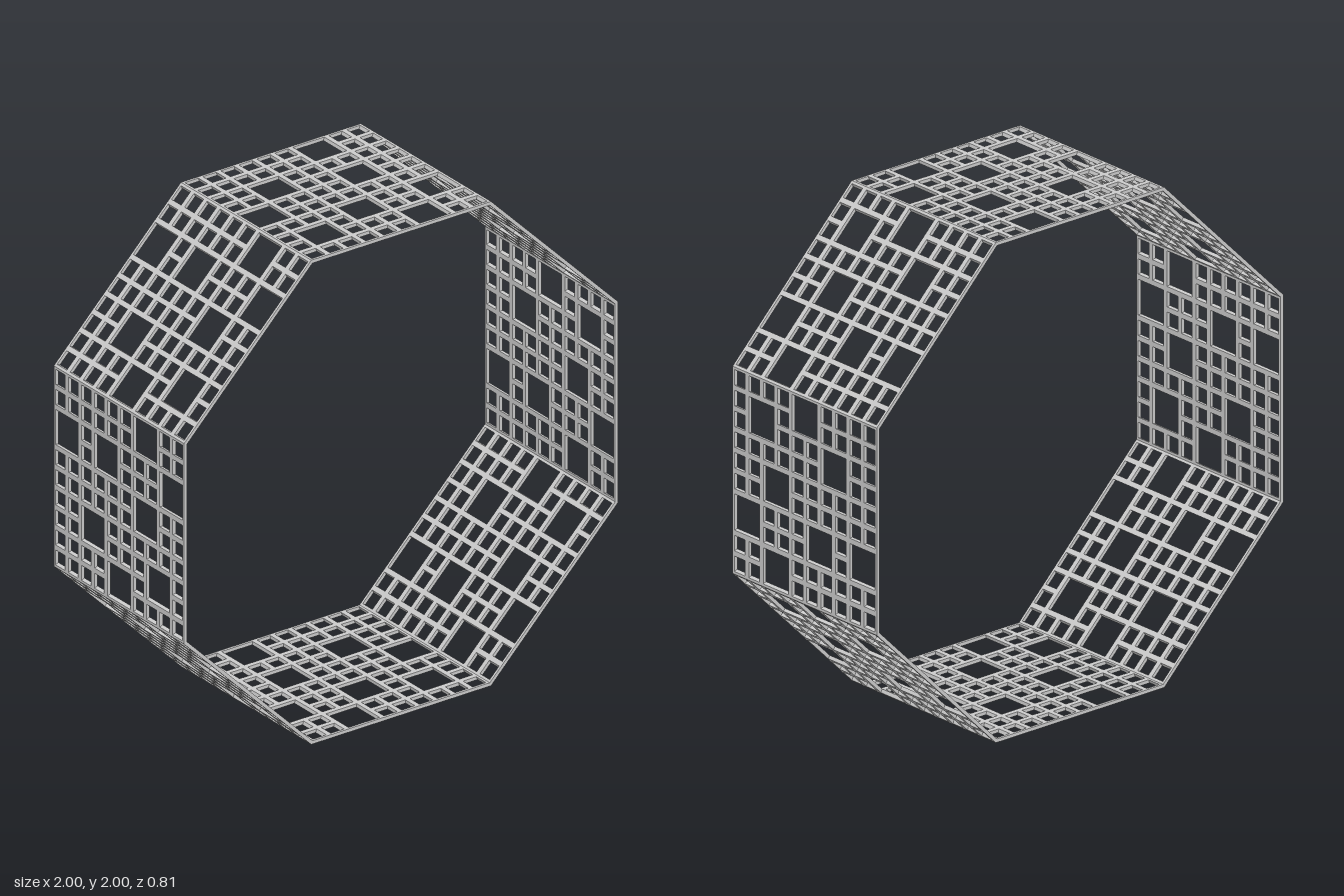
import * as THREE from 'three';

const SIDES = 8, CELLS = 10;
const HALF_SIDE = Math.tan(Math.PI / SIDES); // half panel length at apothem 1
const HALF_DEPTH = 0.406;
const BAR = 0.021, THICK = 0.014;

// Crossings removed to make double-size openings: [row along the ring, column from the front]
const OPENINGS = [[8, 2], [9, 5], [7, 7], [5, 3], [3, 1], [3, 6], [3, 9], [1, 3]];

function latticeGeometry() {
  const pu = (2 * HALF_SIDE) / CELLS, pv = (2 * HALF_DEPTH) / CELLS;
  const shape = new THREE.Shape([
    new THREE.Vector2(-HALF_SIDE, -HALF_DEPTH), new THREE.Vector2(HALF_SIDE, -HALF_DEPTH),
    new THREE.Vector2(HALF_SIDE, HALF_DEPTH), new THREE.Vector2(-HALF_SIDE, HALF_DEPTH),
  ]);

  // Rectangular opening over n x n cells, inset by half a bar
  const addHole = (i, j, n) => {
    const u0 = -HALF_SIDE + i * pu + BAR / 2, u1 = -HALF_SIDE + (i + n) * pu - BAR / 2;
    const v1 = HALF_DEPTH - j * pv - BAR / 2, v0 = HALF_DEPTH - (j + n) * pv + BAR / 2;
    shape.holes.push(new THREE.Path([
      new THREE.Vector2(u0, v0), new THREE.Vector2(u0, v1),
      new THREE.Vector2(u1, v1), new THREE.Vector2(u1, v0),
    ]));
  };

  const used = new Set();
  for (const [i, j] of OPENINGS) {
    addHole(i - 1, j - 1, 2);
    for (const a of [i - 1, i]) for (const b of [j - 1, j]) used.add(a * CELLS + b);
  }
  for (let i = 0; i < CELLS; i++)
    for (let j = 0; j < CELLS; j++)
      if (!used.has(i * CELLS + j)) addHole(i, j, 1);

  const geo = new THREE.ExtrudeGeometry(shape, { depth: THICK, bevelEnabled: false });
  geo.translate(0, 0, 1 - THICK);

  // Mitre the ends so neighbouring panels meet cleanly
  const p = geo.attributes.position;
  for (let k = 0; k < p.count; k++) p.setX(k, p.getX(k) * p.getZ(k));
  geo.computeVertexNormals();

  // Turn the panel to face +x, its length running up y and its width along z
  geo.applyMatrix4(new THREE.Matrix4().makeBasis(
    new THREE.Vector3(0, 1, 0), new THREE.Vector3(0, 0, 1), new THREE.Vector3(1, 0, 0)));
  return geo;
}

export function createModel() {
  const model = new THREE.Group();
  model.name = 'octagonalLatticeRing';
  const geo = latticeGeometry();
  const material = new THREE.MeshStandardMaterial({ color: 0xcccccc, flatShading: true });

  // Eight identical panels around the ring
  for (let k = 0; k < SIDES; k++) {
    const panel = new THREE.Mesh(geo, material);
    panel.name = `latticePanel${k + 1}`;
    panel.rotation.z = (k * 2 * Math.PI) / SIDES;
    panel.position.y = 1;
    model.add(panel);
  }
  return model;
}
